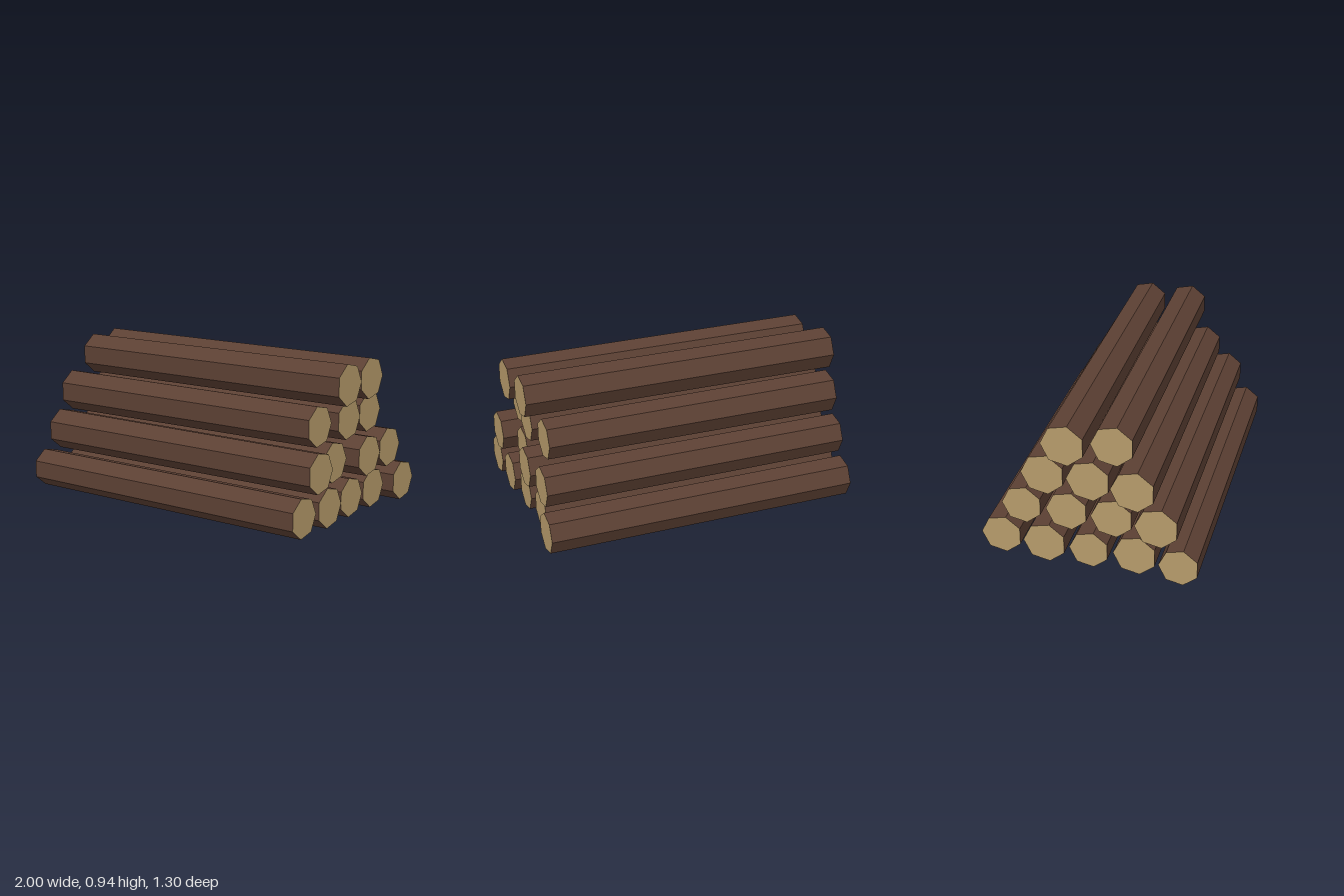
import * as THREE from 'three';

// Each log: [left end x, right end x, radius at -x end, radius at +x end]; rows run front to back
const ROWS = [
  [
    [-1.0, 0.97, 0.118, 0.119],
    [-0.95, 0.965, 0.128, 0.12],
    [-0.96, 0.94, 0.118, 0.119],
    [-0.955, 0.925, 0.128, 0.12],
    [-0.935, 0.975, 0.1225, 0.121],
  ],
  [
    [-0.985, 0.99, 0.128, 0.121],
    [-0.95, 0.91, 0.1245, 0.122],
    [-0.94, 0.975, 0.1245, 0.122],
    [-0.94, 0.953, 0.12, 0.1205],
  ],
  [
    [-1.0, 0.89, 0.129, 0.121],
    [-0.955, 0.915, 0.129, 0.121],
    [-0.95, 0.89, 0.129, 0.121],
  ],
  [
    [-0.93, 1.0, 0.126, 0.124],
    [-0.99, 0.98, 0.128, 0.124],
  ],
];
const SPACING = 0.267, ROW_HEIGHT = 0.23;

export function createModel() {
  const bark = new THREE.MeshStandardMaterial({ color: 0x5c4033, flatShading: true });
  bark.name = 'bark';
  const cutWood = new THREE.MeshStandardMaterial({ color: 0xb59a6a, flatShading: true });
  cutWood.name = 'cutWood';

  const pile = new THREE.Group();
  pile.name = 'logPile';

  ROWS.forEach((logs, row) => {
    const rowGroup = new THREE.Group();
    rowGroup.name = `logRow${row + 1}`;
    rowGroup.position.y = 0.131 + row * ROW_HEIGHT;
    logs.forEach(([x0, x1, r0, r1], i) => {
      // Seven-sided tapered log along x, one corner pointing to the back
      const geometry = new THREE.CylinderGeometry(r1, r0, x1 - x0, 7, 1, false, Math.PI);
      geometry.rotateZ(-Math.PI / 2);
      const log = new THREE.Mesh(geometry, [bark, cutWood, cutWood]);
      log.name = `log${row + 1}_${i + 1}`;
      log.position.set((x0 + x1) / 2, 0, 0.008 + ((logs.length - 1) / 2 - i) * SPACING);
      rowGroup.add(log);
    });
    pile.add(rowGroup);
  });
  return pile;
}
